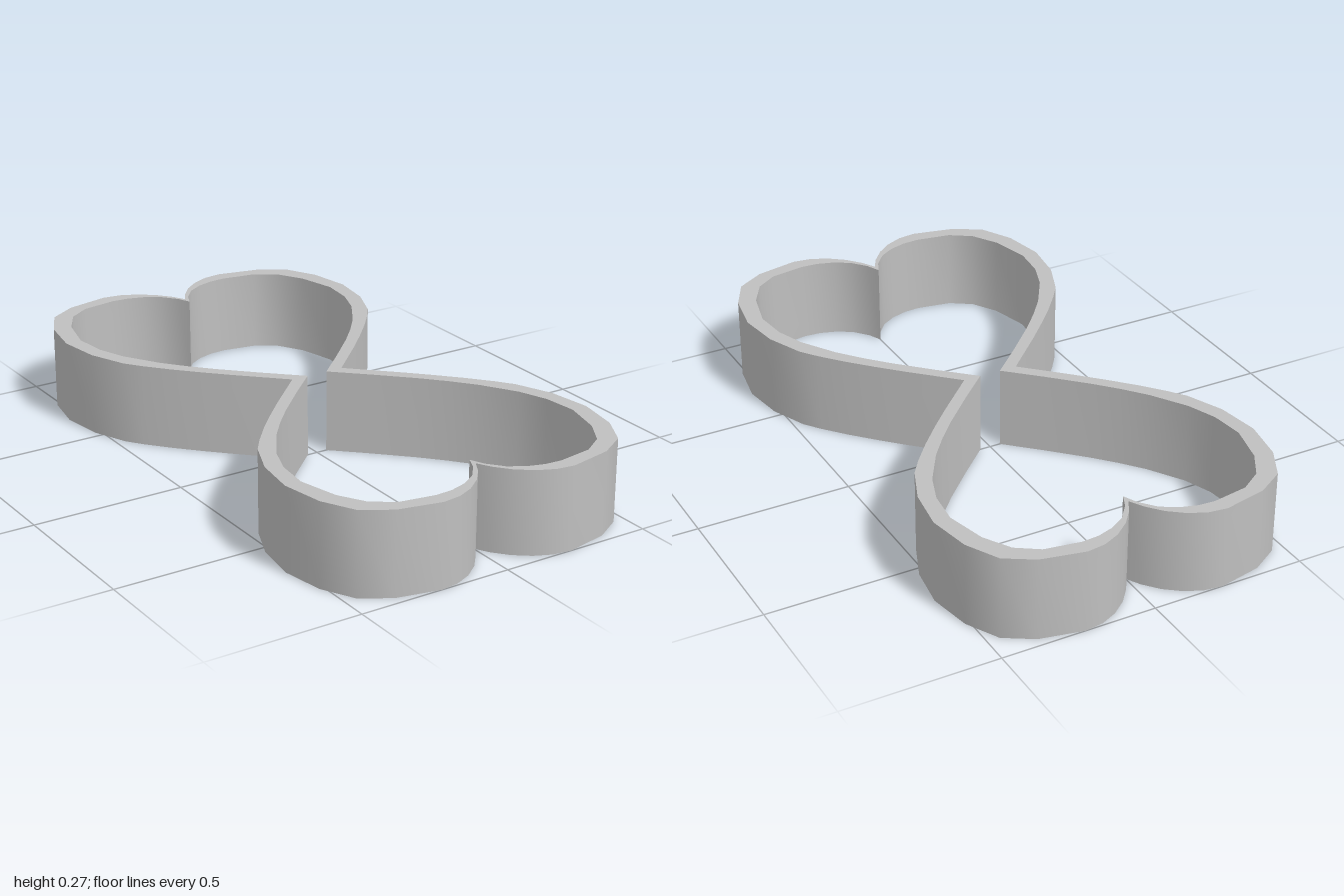
import * as THREE from 'three';
import { toCreasedNormals } from 'three/addons/utils/BufferGeometryUtils.js';

const HEIGHT = 0.27;

// One quarter of each wall line, from the waist to the notch of the heart
const outerQuarter = [
  [0.092, 0], [0.23, 0.135], [0.3, 0.207], [0.37, 0.283], [0.43, 0.355], [0.47, 0.41], [0.52, 0.53],
  [0.54, 0.67], [0.515, 0.81], [0.46, 0.915], [0.37, 0.97], [0.23, 1],
  [0.17, 0.992], [0.115, 0.967], [0.065, 0.928], [0.025, 0.88], [0, 0.835],
];
const innerQuarter = [
  [0.035, 0], [0.14, 0.1], [0.245, 0.205], [0.31, 0.277], [0.37, 0.352], [0.44, 0.465], [0.475, 0.56],
  [0.487, 0.67], [0.455, 0.8], [0.405, 0.885], [0.335, 0.932], [0.22, 0.951],
  [0.165, 0.947], [0.11, 0.93], [0.06, 0.899], [0.02, 0.85], [0, 0.805],
];

// Mirrors a quarter line into a closed double-heart loop
function doubleHeart(quarter) {
  const back = [...quarter].reverse().slice(1);
  const flip = (points, sx, sz) => points.map(([x, z]) => new THREE.Vector2(x * sx, z * sz));
  return [
    ...flip(quarter, 1, 1),
    ...flip(back, -1, 1),
    ...flip(quarter.slice(1), -1, -1),
    ...flip(back.slice(0, -1), 1, -1),
  ];
}

export function createModel() {
  const grey = new THREE.MeshStandardMaterial({ color: 0xbfbfbf });
  grey.name = 'grey';

  // Upright wall that follows two hearts joined tip to tip
  const shape = new THREE.Shape(doubleHeart(outerQuarter));
  shape.holes.push(new THREE.Path(doubleHeart(innerQuarter)));
  const geometry = new THREE.ExtrudeGeometry(shape, { depth: HEIGHT, bevelEnabled: false });
  geometry.rotateX(-Math.PI / 2);

  const wall = new THREE.Mesh(toCreasedNormals(geometry, 0.65), grey);
  wall.name = 'doubleHeartWall';

  const model = new THREE.Group();
  model.name = 'doubleHeartFrame';
  model.add(wall);
  return model;
}
